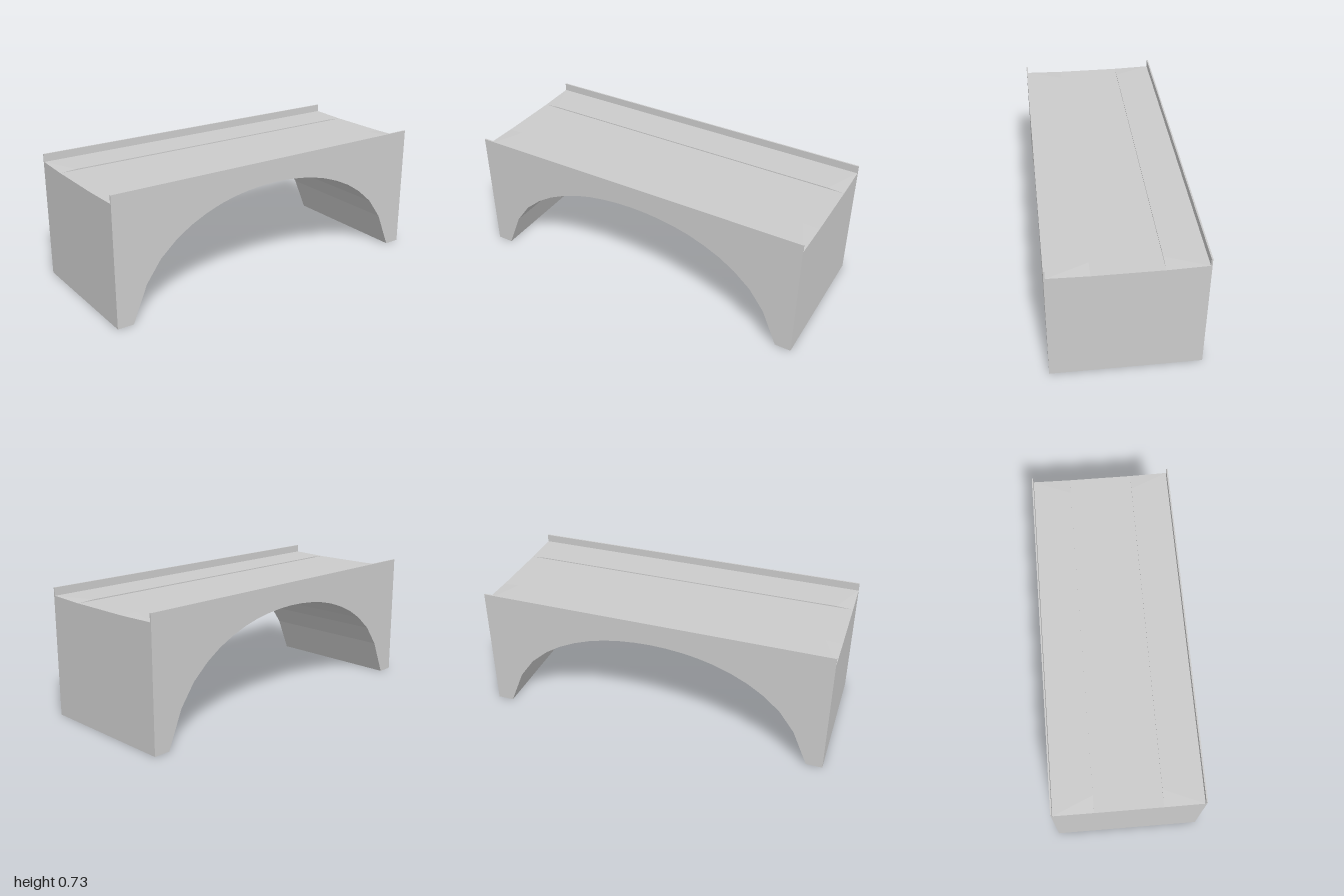
import * as THREE from 'three';

const HALF_W = 0.408, WALL_IN = 0.4, CURB_X = 0.183;
const TOP_Y = 0.727, WALK_Y = 0.682, DECK_Y = 0.676;

// Half of the arch: distance from the middle and height of the underside
const ARCH = [[0, 0.595], [0.09, 0.592], [0.18, 0.583], [0.27, 0.568], [0.36, 0.545], [0.455, 0.511],
  [0.55, 0.466], [0.64, 0.408], [0.735, 0.325], [0.822, 0.205], [0.908, 0], [1, 0]];
const STATIONS = [...ARCH.slice(1).reverse().map(([z, y]) => [-z, y]), ...ARCH];

const material = new THREE.MeshStandardMaterial({ color: 0xcccccc, flatShading: true });

function addMesh(group, name, geometry) {
  const mesh = new THREE.Mesh(geometry, material);
  mesh.name = name;
  group.add(mesh);
  return mesh;
}

// Sweeps an open cross-section along z; section(z, archY) runs counter-clockwise seen from the front
function sweep(group, name, section, side = 1) {
  const rings = STATIONS.map(([z, y]) => {
    const points = section(z, y).map(([px, py]) => [px * side, py, z]);
    return side < 0 ? points.reverse() : points;
  });
  const positions = [];
  for (let s = 0; s < rings.length - 1; s++) {
    const r0 = rings[s], r1 = rings[s + 1];
    const splitAC = (r0[0][2] < 0) === (side > 0);
    for (let i = 0; i < r0.length - 1; i++) {
      const a = r0[i], b = r0[i + 1], c = r1[i + 1], d = r1[i];
      const corners = splitAC ? [a, b, c, a, c, d] : [a, b, d, b, c, d];
      corners.forEach((p) => positions.push(...p));
    }
  }
  const geometry = new THREE.BufferGeometry();
  geometry.setAttribute('position', new THREE.Float32BufferAttribute(positions, 3));
  geometry.computeVertexNormals();
  addMesh(group, name, geometry);
}

export function createModel() {
  const bridge = new THREE.Group();
  bridge.name = 'archBridge';

  // Arch underside with the feet, and the roadway
  sweep(bridge, 'archUnderside', (z, y) => [[-HALF_W, y], [HALF_W, y]]);
  sweep(bridge, 'roadway', () => [[CURB_X, DECK_Y], [-CURB_X, DECK_Y]]);

  for (const [label, side] of [['left', 1], ['right', -1]]) {
    // Side wall rising into a thin parapet
    sweep(bridge, label + 'WallAndParapet', (z, y) =>
      [[HALF_W, y], [HALF_W, TOP_Y], [WALL_IN, TOP_Y], [WALL_IN, WALK_Y]], side);
    // Raised walkway whose curb slopes down to the roadway at both ends
    sweep(bridge, label + 'Walkway', (z) =>
      [[WALL_IN, WALK_Y], [CURB_X, Math.abs(z) > 0.95 ? DECK_Y : WALK_Y], [CURB_X, DECK_Y]], side);
  }

  // End walls
  const half = [[HALF_W, 0], [HALF_W, TOP_Y], [WALL_IN, TOP_Y], [WALL_IN, WALK_Y], [CURB_X, DECK_Y]];
  const outline = [...half, ...half.map(([x, y]) => [-x, y]).reverse()];
  const endShape = new THREE.Shape(outline.map(([x, y]) => new THREE.Vector2(x, y)));
  for (const [name, z] of [['frontEndWall', 1], ['backEndWall', -1]]) {
    const wall = addMesh(bridge, name, new THREE.ShapeGeometry(endShape));
    wall.position.z = z;
    if (z < 0) wall.rotation.y = Math.PI;
  }

  return bridge;
}
